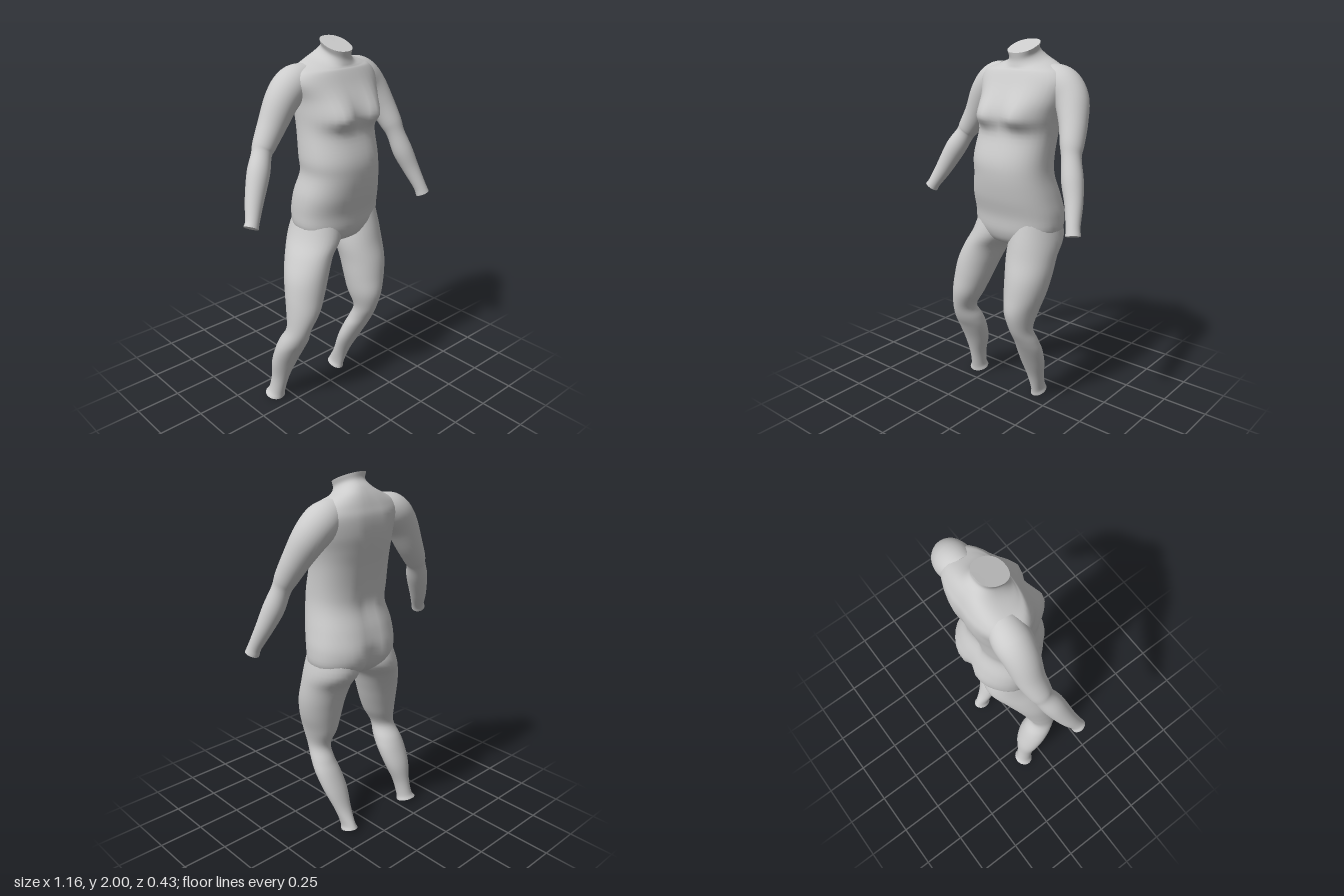
import * as THREE from 'three';

const SEGMENTS = 36, STEPS = 5;
const material = new THREE.MeshStandardMaterial({ color: 0xcccccc });
const gauss = (d, s) => Math.exp(-(d * d) / (s * s));
const power = (v, e) => Math.sign(v) * Math.abs(v) ** e;

// Closed skin through rings listed top to bottom: { c: centre, s: (rx, rz, tilt) }.
// Level rings stay horizontal (plus tilt); others turn with the path.
function loft(name, rings, { level = true, square = 1, shape } = {}) {
  const centres = new THREE.CatmullRomCurve3(rings.map(r => r.c), false, 'catmullrom', 0.5);
  const sizes = new THREE.CatmullRomCurve3(rings.map(r => r.s), false, 'catmullrom', 0.5);
  const rows = (rings.length - 1) * STEPS;
  const pos = [], index = [];
  for (let i = 0; i <= rows; i++) {
    const c = centres.getPoint(i / rows), s = sizes.getPoint(i / rows);
    const u = new THREE.Vector3(1, 0, 0), v = new THREE.Vector3(0, s.z, 1);
    if (!level) {
      const t = centres.getTangent(i / rows);
      u.set(-t.y, t.x, 0).normalize();
      v.crossVectors(t, u);
    }
    for (let j = 0; j < SEGMENTS; j++) {
      const a = (j / SEGMENTS) * Math.PI * 2;
      const p = c.clone()
        .addScaledVector(u, s.x * power(Math.cos(a), square))
        .addScaledVector(v, s.y * power(Math.sin(a), square));
      if (shape) shape(p, Math.sin(a));
      pos.push(p.x, p.y, p.z);
    }
  }
  for (let i = 0; i < rows; i++) {
    for (let j = 0; j < SEGMENTS; j++) {
      const k = (j + 1) % SEGMENTS;
      const a = i * SEGMENTS + j, b = i * SEGMENTS + k;
      index.push(a, b, a + SEGMENTS, b, b + SEGMENTS, a + SEGMENTS);
    }
  }
  // Flat end caps with their own vertices, so the cut edge stays sharp
  for (const row of [0, rows]) {
    const start = pos.length / 3;
    pos.push(...pos.slice(row * SEGMENTS * 3, (row + 1) * SEGMENTS * 3));
    const c = centres.getPoint(row / rows);
    pos.push(c.x, c.y, c.z);
    for (let j = 0; j < SEGMENTS; j++) {
      const a = start + j, b = start + (j + 1) % SEGMENTS;
      if (row === 0) index.push(start + SEGMENTS, b, a);
      else index.push(start + SEGMENTS, a, b);
    }
  }
  const geometry = new THREE.BufferGeometry();
  geometry.setAttribute('position', new THREE.Float32BufferAttribute(pos, 3));
  geometry.setIndex(index);
  geometry.computeVertexNormals();
  const mesh = new THREE.Mesh(geometry, material);
  mesh.name = name;
  return mesh;
}

// Ring from its extents: height, x range, z range, tilt
const span = ([y, x0, x1, z0, z1, tilt = 0]) => ({
  c: new THREE.Vector3((x0 + x1) / 2, y, (z0 + z1) / 2),
  s: new THREE.Vector3((x1 - x0) / 2, (z1 - z0) / 2, tilt),
});
// Round ring on a path: centre and radius
const round = ([x, y, z, r]) => ({ c: new THREE.Vector3(x, y, z), s: new THREE.Vector3(r, r, 0) });

// Chest, spine groove and buttocks
function shapeTorso(p, side) {
  const x = p.x - 0.06, y = p.y;
  if (side > 0) {
    const dy = y - 1.63;
    p.z += 0.055 * Math.min(1, side * 2) * gauss(Math.abs(x) - 0.105, 0.085) * gauss(dy, dy > 0 ? 0.1 : 0.055);
  } else {
    const back = Math.min(1, -side * 2);
    p.z += 0.02 * back * gauss(x, 0.035) * gauss(y - 1.45, 0.35);
    p.z += 0.03 * back * gauss(x, 0.025) * gauss(y - 1.03, 0.08);
    p.z -= 0.012 * back * gauss(Math.abs(x) - 0.11, 0.08) * gauss(y - 1.09, 0.09);
  }
}

export function createModel() {
  const model = new THREE.Group();
  model.name = 'headlessFigure';

  // Neck, trunk and hips
  model.add(loft('torso', [
    [1.97, -0.01, 0.15, -0.115, 0.045, -0.4],
    [1.935, 0, 0.145, -0.12, 0.04, -0.4],
    [1.905, -0.03, 0.175, -0.15, 0.045, -0.3],
    [1.88, -0.1, 0.24, -0.175, 0.05, -0.15],
    [1.85, -0.17, 0.3, -0.195, 0.06],
    [1.8, -0.195, 0.33, -0.21, 0.085],
    [1.72, -0.17, 0.315, -0.212, 0.12],
    [1.64, -0.165, 0.29, -0.2, 0.14],
    [1.55, -0.165, 0.272, -0.18, 0.145],
    [1.42, -0.175, 0.265, -0.16, 0.185],
    [1.33, -0.17, 0.27, -0.157, 0.19],
    [1.22, -0.195, 0.293, -0.19, 0.175],
    [1.12, -0.2, 0.31, -0.205, 0.15],
    [1.03, -0.19, 0.3, -0.19, 0.14],
    [0.97, -0.12, 0.22, -0.13, 0.11],
    [0.94, -0.04, 0.1, -0.06, 0.05],
  ].map(span), { square: 0.88, shape: shapeTorso }));

  // Arms, from inside the shoulder to the cut wrist
  model.add(loft('rightArm', [
    [-0.08, 1.815, -0.09, 0.075], [-0.16, 1.785, -0.1, 0.093], [-0.23, 1.72, -0.1, 0.088],
    [-0.3, 1.6, -0.1, 0.073], [-0.36, 1.51, -0.09, 0.06], [-0.385, 1.47, -0.08, 0.052],
    [-0.43, 1.39, -0.05, 0.058], [-0.49, 1.27, -0.01, 0.047], [-0.53, 1.19, 0.025, 0.036],
    [-0.548, 1.16, 0.035, 0.038],
  ].map(round), { level: false }));
  model.add(loft('leftArm', [
    [0.2, 1.82, -0.08, 0.075], [0.28, 1.785, -0.08, 0.093], [0.345, 1.72, -0.065, 0.088],
    [0.39, 1.62, -0.02, 0.073], [0.42, 1.52, 0.03, 0.06], [0.435, 1.46, 0.055, 0.05],
    [0.465, 1.36, 0.085, 0.055], [0.5, 1.26, 0.12, 0.046], [0.53, 1.16, 0.165, 0.036],
    [0.542, 1.115, 0.18, 0.038],
  ].map(round), { level: false }));

  // Legs, from inside the hips to the cut ankle
  model.add(loft('rightLeg', [
    [1.15, -0.16, 0.04, -0.16, 0.1],
    [1.0, -0.212, 0.045, -0.195, 0.135],
    [0.9, -0.267, -0.03, -0.15, 0.142],
    [0.8, -0.31, -0.075, -0.105, 0.15],
    [0.7, -0.328, -0.115, -0.07, 0.155],
    [0.6, -0.337, -0.16, -0.04, 0.155],
    [0.5, -0.345, -0.215, -0.015, 0.13],
    [0.42, -0.365, -0.203, -0.06, 0.1],
    [0.35, -0.375, -0.2, -0.09, 0.06],
    [0.25, -0.372, -0.22, -0.122, 0.01],
    [0.14, -0.358, -0.26, -0.135, -0.03],
    [0.05, -0.365, -0.275, -0.15, -0.055, -0.2],
    [0.015, -0.385, -0.27, -0.165, -0.06, -0.28],
  ].map(span)));
  model.add(loft('leftLeg', [
    [1.15, 0.07, 0.28, -0.16, 0.11],
    [1.0, 0.045, 0.313, -0.18, 0.145],
    [0.9, 0.045, 0.315, -0.11, 0.165],
    [0.8, 0.06, 0.31, -0.07, 0.19],
    [0.7, 0.07, 0.29, -0.04, 0.203],
    [0.6, 0.085, 0.257, -0.01, 0.208],
    [0.5, 0.112, 0.235, 0.035, 0.178],
    [0.42, 0.113, 0.247, 0.005, 0.135],
    [0.35, 0.1, 0.252, -0.03, 0.095],
    [0.25, 0.09, 0.235, -0.07, 0.04],
    [0.14, 0.1, 0.2, -0.105, -0.015],
    [0.05, 0.108, 0.178, -0.145, -0.048, -0.2],
    [0.015, 0.098, 0.182, -0.16, -0.055, -0.28],
  ].map(span)));

  return model;
}
